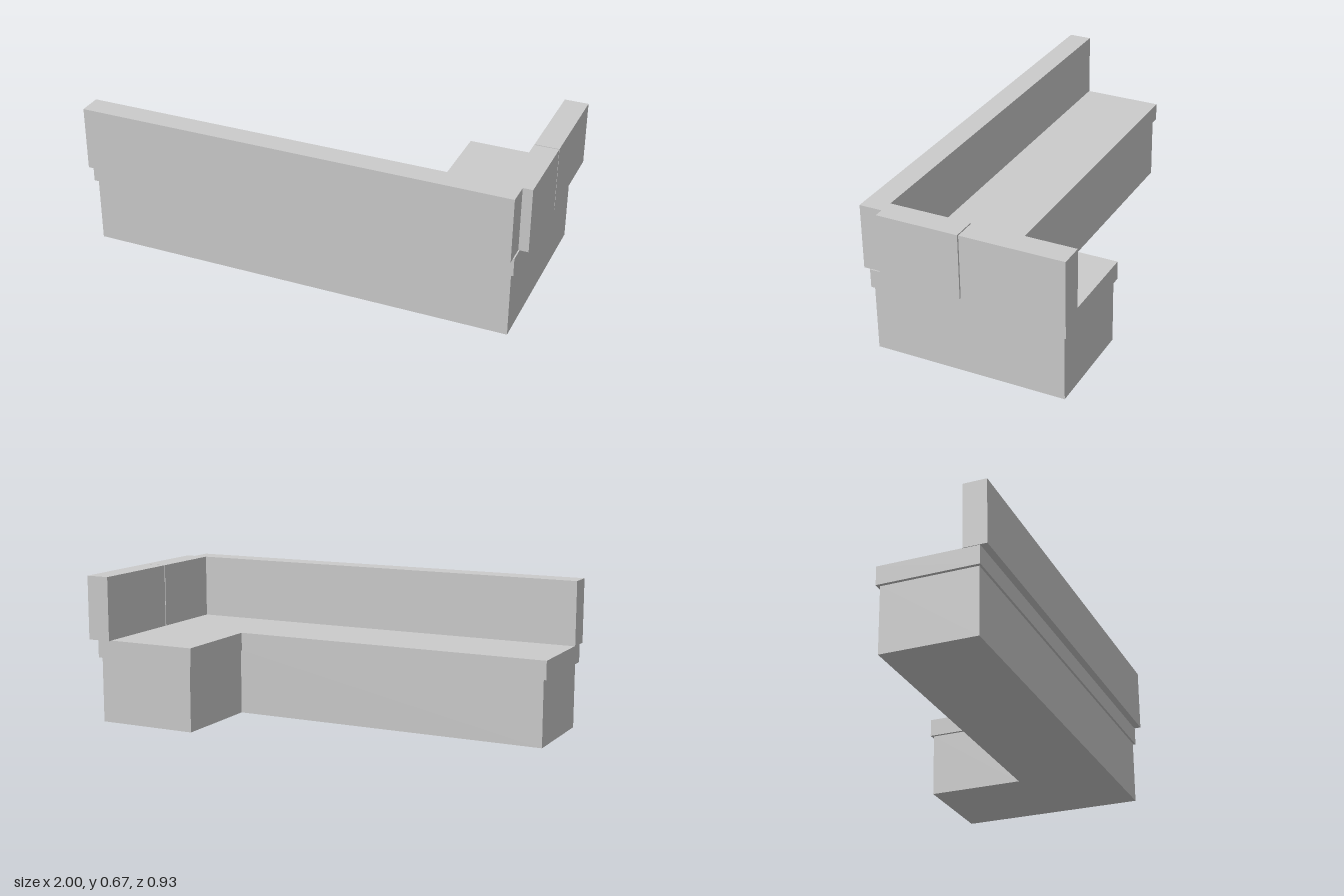
import * as THREE from 'three';

const material = new THREE.MeshStandardMaterial({ color: 0xcccccc, flatShading: true });

export function createModel() {
  const sofa = new THREE.Group();
  sofa.name = 'cornerSofa';

  const add = (name, geometry) => {
    const mesh = new THREE.Mesh(geometry, material);
    mesh.name = name;
    sofa.add(mesh);
  };

  // Box given by its lower and upper limits on each axis
  const box = (name, [x0, x1], [y0, y1], [z0, z1]) => {
    const g = new THREE.BoxGeometry(x1 - x0, y1 - y0, z1 - z0);
    g.translate((x0 + x1) / 2, (y0 + y1) / 2, (z0 + z1) / 2);
    add(name, g);
  };

  // L-shaped slab: long run along x, short return towards -z on the left
  const slab = (name, x0, xStep, x1, zReturn, zStep, zWall, y0, y1) => {
    const outline = [[x0, zWall], [x1, zWall], [x1, zReturn],
      [xStep, zReturn], [xStep, zStep], [x0, zStep]];
    const shape = new THREE.Shape(outline.map(([x, z]) => new THREE.Vector2(x, -z)));
    const g = new THREE.ExtrudeGeometry(shape, { depth: y1 - y0, bevelEnabled: false });
    g.rotateX(-Math.PI / 2);
    g.translate(0, y0, 0);
    add(name, g);
  };

  // Plinth, and the seat that overhangs it
  slab('base', -0.982, 0.487, 0.951, -0.436, 0.002, 0.423, 0, 0.297);
  slab('seat', -0.997, 0.475, 0.963, -0.448, -0.01, 0.433, 0.297, 0.38);

  // Backrests: one long, two on the short side with a narrow gap
  const height = [0.379, 0.668];
  box('longBackrest', [-1, 0.957], height, [0.36, 0.464]);
  box('sideBackrestCorner', [0.893, 1], height, [-0.003, 0.362]);
  box('sideBackrestEnd', [0.893, 1], height, [-0.464, -0.008]);

  return sofa;
}
